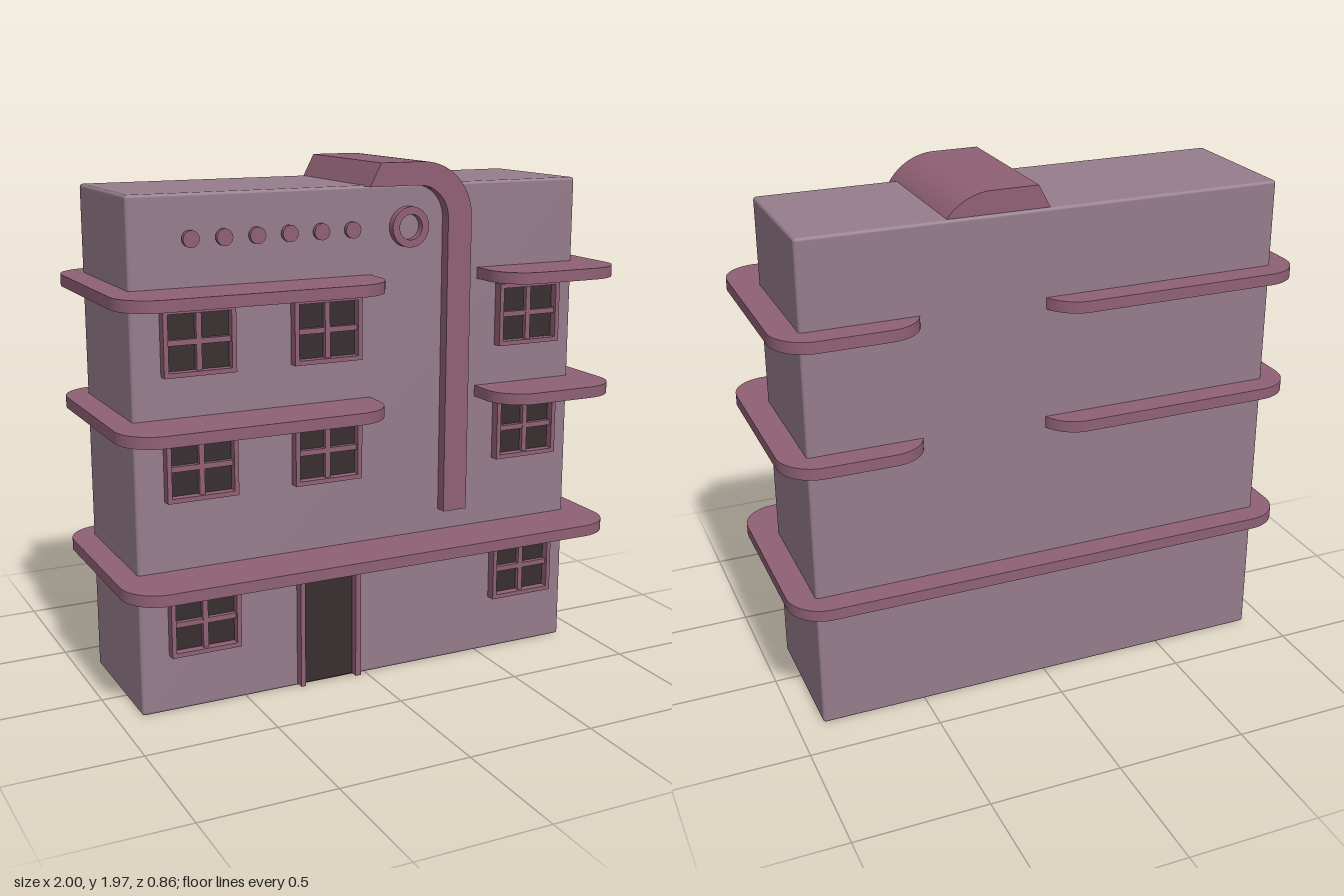
import * as THREE from 'three';
import { RoundedBoxGeometry } from 'three/addons/geometries/RoundedBoxGeometry.js';
import { toCreasedNormals } from 'three/addons/utils/BufferGeometryUtils.js';

const WALL = 0.205; // z of the front wall

export function createModel() {
  const model = new THREE.Group();
  model.name = 'building';
  const material = (name, color) => {
    const m = new THREE.MeshStandardMaterial({ color });
    m.name = name;
    return m;
  };
  const wall = material('mauve wall', 0x967c8c);
  const trim = material('plum trim', 0x8f6074);
  const glass = material('dark glass', 0x382e30);

  const add = (parent, name, geometry, mat, x = 0, y = 0, z = 0) => {
    const mesh = new THREE.Mesh(geometry, mat);
    mesh.name = name;
    mesh.position.set(x, y, z);
    parent.add(mesh);
    return mesh;
  };
  // Box given by its limits in x, y and z
  const box = (parent, name, mat, x0, x1, y0, y1, z0, z1) =>
    add(parent, name, new THREE.BoxGeometry(x1 - x0, y1 - y0, z1 - z0), mat,
      (x0 + x1) / 2, (y0 + y1) / 2, (z0 + z1) / 2);
  const extrude = (shape, depth) => toCreasedNormals(
    new THREE.ExtrudeGeometry(shape, { depth, bevelEnabled: false, curveSegments: 14 }), 0.6);

  // Main block
  add(model, 'mainBlock', new RoundedBoxGeometry(1.81, 1.885, 0.54, 2, 0.012), wall, -0.003, 0.9425, -0.065);

  // Rounded ledges that wrap the block
  const ledge = (name, x0, x1, y) => {
    const r = 0.14, d = 0.428, s = new THREE.Shape();
    s.moveTo(x0 + r, -d);
    s.lineTo(x1 - r, -d).absarc(x1 - r, -d + r, r, -Math.PI / 2, 0);
    s.lineTo(x1, d - r).absarc(x1 - r, d - r, r, 0, Math.PI / 2);
    s.lineTo(x0 + r, d).absarc(x0 + r, d - r, r, Math.PI / 2, Math.PI);
    s.lineTo(x0, -d + r).absarc(x0 + r, -d + r, r, Math.PI, Math.PI * 1.5);
    const g = extrude(s, 0.043);
    g.rotateX(-Math.PI / 2);
    add(model, name, g, trim, 0, y, 0);
  };
  ledge('lowerLedge', -1, 1, 0.498);
  for (const y of [1.059, 1.518]) {
    ledge('longLedge', -1, 0.015, y);
    ledge('shortLedge', 0.47, 1, y);
  }

  // Curved fin that crosses the roof and runs down the front
  const fin = new THREE.Shape();
  fin.moveTo(-0.01, 1.882);
  fin.lineTo(0.19, 1.882).absarc(0.19, 1.757, 0.125, Math.PI / 2, 0, true);
  fin.lineTo(0.315, 0.625).lineTo(0.415, 0.625);
  fin.lineTo(0.415, 1.757).absarc(0.205, 1.757, 0.21, 0, Math.PI / 2);
  fin.lineTo(0.035, 1.967).lineTo(-0.01, 1.882);
  add(model, 'curvedFin', extrude(fin, 0.575), trim, 0, 0, -0.325);

  // Four-pane windows
  const addWindow = (cx, cy) => {
    const w = new THREE.Group();
    w.name = 'window';
    w.position.set(cx, cy, WALL);
    const a = 0.135, b = 0.12, t = 0.017;
    box(w, 'panes', glass, -a + t, a - t, -b + t, b - t, 0, 0.006);
    for (const s of [-1, 1]) {
      const x = s * (a - t / 2), y = s * (b - t / 2);
      box(w, 'sideFrame', trim, x - t / 2, x + t / 2, -b, b, -0.005, 0.038);
      box(w, 'crossFrame', trim, -a + t, a - t, y - t / 2, y + t / 2, -0.005, 0.038);
    }
    box(w, 'upright', trim, -0.01, 0.01, -b + t, b - t, 0, 0.025);
    box(w, 'crossbar', trim, -a + t, a - t, -0.01, 0.01, 0, 0.0245);
    model.add(w);
  };
  for (const y of [0.34, 0.923, 1.375]) {
    for (const x of [-0.665, -0.17, 0.69]) if (y > 0.5 || x !== -0.17) addWindow(x, y);
  }

  // Doorway
  const door = new THREE.Group();
  door.name = 'door';
  box(door, 'doorPanel', glass, -0.272, -0.06, 0.01, 0.445, WALL, WALL + 0.006);
  box(door, 'leftJamb', trim, -0.06, -0.038, 0.01, 0.46, WALL - 0.005, 0.243);
  box(door, 'rightJamb', trim, -0.29, -0.272, 0.01, 0.46, WALL - 0.005, 0.243);
  box(door, 'lintel', trim, -0.272, -0.06, 0.443, 0.46, WALL - 0.005, 0.243);
  model.add(door);

  // Row of discs
  const disc = new THREE.CylinderGeometry(0.03, 0.03, 0.018, 20).rotateX(Math.PI / 2);
  for (let i = 0; i < 6; i++) add(model, 'disc', disc, trim, -0.685 + i * 0.1238, 1.73, 0.223);

  // Round ornament
  const ring = new THREE.Shape().absarc(0, 0, 0.075, 0, Math.PI * 2);
  ring.holes.push(new THREE.Path().absarc(0, 0, 0.047, 0, Math.PI * 2, true));
  add(model, 'ringOrnament', extrude(ring, 0.035), trim, 0.167, 1.73, 0.2);

  return model;
}
